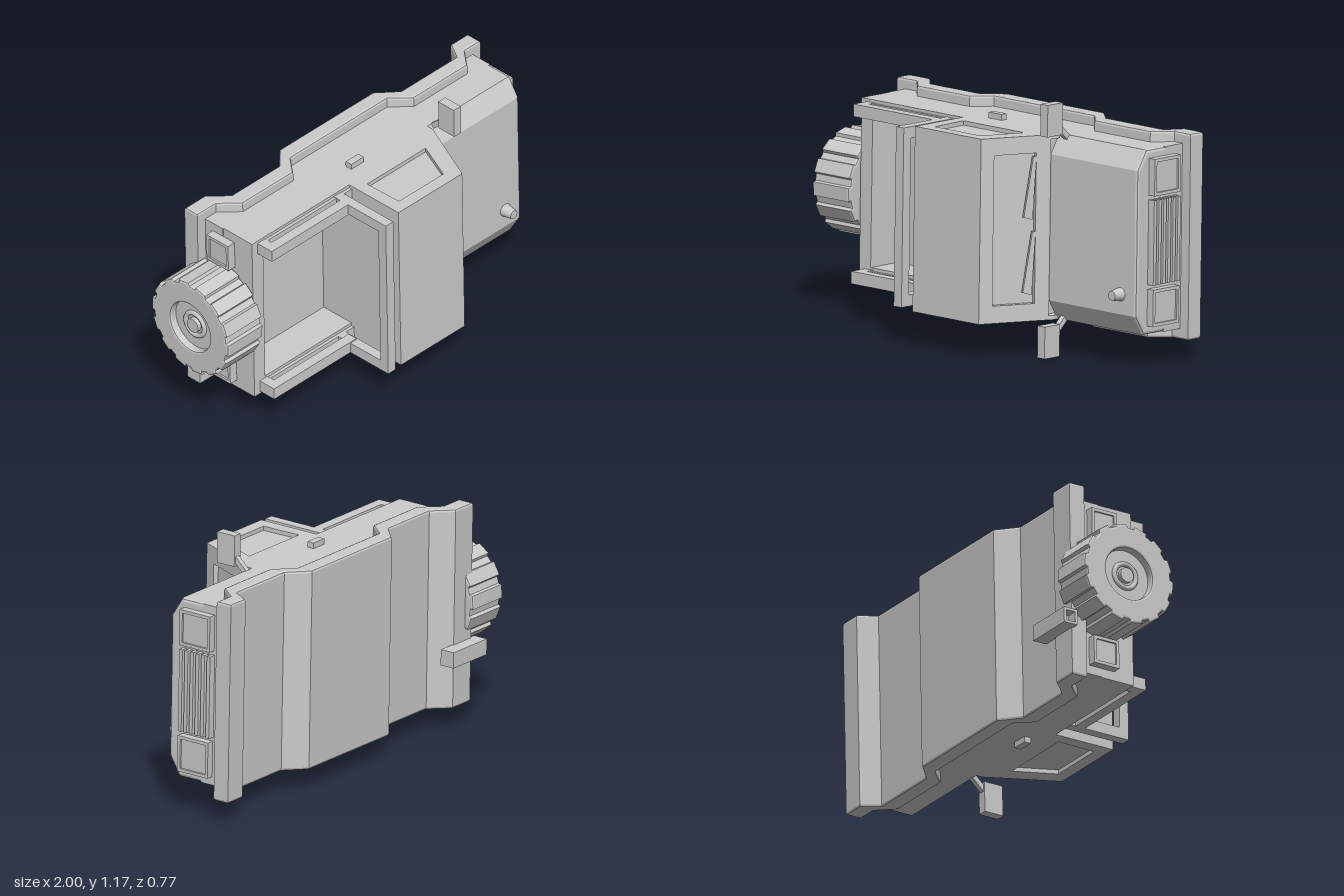
import * as THREE from 'three';

const mat = new THREE.MeshStandardMaterial({ color: 0xcccccc });
const HALF = 0.425; // half width of the body

function shapeOf(points, hole) {
  const s = new THREE.Shape(points.map(p => new THREE.Vector2(...p)));
  if (hole) s.holes.push(new THREE.Path(hole.map(p => new THREE.Vector2(...p))));
  return s;
}
const rect = (x0, y0, x1, y1) => [[x0, y0], [x1, y0], [x1, y1], [x0, y1]];

// Extrusion centred on its depth, with an optional bevel kept inside the outline
function extrude(shape, depth, bevel = 0) {
  const g = new THREE.ExtrudeGeometry(shape, {
    depth: depth - 2 * bevel, bevelEnabled: bevel > 0, bevelSize: bevel,
    bevelThickness: bevel, bevelOffset: -bevel, bevelSegments: 2, curveSegments: 24,
  });
  return g.translate(0, 0, -(depth - 2 * bevel) / 2);
}

function add(parent, name, geometry, x = 0, y = 0, z = 0) {
  const m = new THREE.Mesh(geometry, mat);
  m.name = name;
  m.position.set(x, y, z);
  parent.add(m);
  return m;
}

// Box given by its limits
function box(parent, name, x0, x1, y0, y1, z0, z1) {
  return add(parent, name, new THREE.BoxGeometry(x1 - x0, y1 - y0, Math.abs(z1 - z0)),
    (x0 + x1) / 2, (y0 + y1) / 2, (z0 + z1) / 2);
}

// Wavy skirt that forms bumpers, sills and wheel arches
function buildLower(truck) {
  const top = [[-0.82, -0.24], [-0.7, -0.24], [-0.615, -0.155], [-0.29, -0.155], [-0.22, -0.24],
    [0.4, -0.24], [0.485, -0.155], [0.83, -0.155], [0.9, -0.24], [1, -0.24]];
  const bottom = [[-0.82, -0.32], [-0.69, -0.32], [-0.605, -0.235], [-0.3, -0.235], [-0.21, -0.32],
    [0.39, -0.32], [0.485, -0.235], [0.84, -0.235], [0.89, -0.32], [1, -0.32]];
  add(truck, 'wheelArchSkirt', extrude(shapeOf([...bottom, ...[...top].reverse()]), 0.95, 0.012));

  const mid = top.map((p, i) => [(p[0] + bottom[i][0]) / 2, (p[1] + bottom[i][1]) / 2]);
  mid[0][0] = -0.77;
  mid[mid.length - 1][0] = 0.95;
  add(truck, 'lowerHull', extrude(shapeOf([...mid, [0.95, -0.13], [-0.77, -0.13]]), 2 * HALF));
}

function buildCab(truck) {
  const cab = new THREE.Group();
  cab.name = 'cab';
  truck.add(cab);
  add(cab, 'cabCore', extrude(shapeOf([[-0.14, -0.15], [0.383, -0.15], [0.383, 0.05],
    [0.25, 0.345], [0.268, 0.36], [-0.14, 0.36]]), 2 * HALF - 0.04));

  // Side panels with window openings, handles and mirrors
  const outline = [[-0.14, -0.15], [0.42, -0.15], [0.42, 0.03], [0.41, 0.05], [0.27, 0.36], [-0.14, 0.36]];
  const window = [[-0.08, 0.105], [0.295, 0.105], [0.21, 0.3], [-0.075, 0.3]].reverse();
  for (const s of [-1, 1]) {
    add(cab, 'doorPanel', extrude(shapeOf(outline, window), 0.02), 0, 0, s * (HALF - 0.01));
    box(cab, 'doorHandle', -0.05, 0.03, -0.06, -0.025, s * 0.42, s * 0.452);
    box(cab, 'mirror', 0.435, 0.48, 0.05, 0.148, s * 0.435, s * 0.582);
    const arm = add(cab, 'mirrorArm', new THREE.BoxGeometry(0.025, 0.11, 0.025), 0.457, 0.02, s * 0.435);
    arm.rotation.x = s * 0.75;
  }

  // Sloping windshield frame and wipers, in a frame lying on the slope
  const shield = new THREE.Group();
  shield.name = 'windshield';
  const up = new THREE.Vector3(-0.14, 0.31, 0).normalize();
  const across = new THREE.Vector3(0, 0, -1);
  shield.quaternion.setFromRotationMatrix(
    new THREE.Matrix4().makeBasis(across, up, across.clone().cross(up)));
  shield.position.set(0.41, 0.05, 0);
  cab.add(shield);
  const opening = rect(-0.345, 0.07, 0.345, 0.275).reverse();
  add(shield, 'windshieldFrame',
    extrude(shapeOf(rect(-HALF, 0, HALF, 0.34), opening), 0.025), 0, 0, -0.0125);
  const blade = extrude(shapeOf([[0, 0.085], [0.012, 0.128], [0.29, 0.085], [0.29, 0.07]]), 0.016);
  for (const x of [-0.305, 0.04]) add(shield, 'wiper', blade, x, 0, -0.006);
}

function buildHood(truck) {
  const section = [[-HALF, -0.2], [HALF, -0.2], [HALF, -0.005], [0.335, 0.05], [-0.335, 0.05], [-HALF, -0.005]];
  const hood = extrude(shapeOf(section), 0.55, 0.015).rotateY(Math.PI / 2);
  add(truck, 'hood', hood, 0.675, 0, 0);
  add(truck, 'hoodCap', new THREE.CylinderGeometry(0.022, 0.032, 0.06, 16), 0.85, 0.075, 0.243);

  // Grille slats between the headlights
  for (let i = 0; i < 6; i++) {
    const y = -0.032 - i * 0.031;
    box(truck, 'grilleSlat', 0.94, 0.985, y - 0.009, y + 0.009, -0.195, 0.195);
  }
  for (const s of [-1, 1]) {
    lamp(truck, 'headlight', 0.965, s * 0.3, -0.108, 0.085);
    lamp(truck, 'tailLight', -0.79, s * 0.315, -0.125, 0.068);
  }
}

// Square lamp: raised rim around a sunken lens
function lamp(parent, name, x, z, y, r) {
  const i = r - 0.015;
  const rim = extrude(shapeOf(rect(-r, -r, r, r), rect(-i, -i, i, i).reverse()), 0.042).rotateY(Math.PI / 2);
  add(parent, name + 'Rim', rim, x, y, z);
  box(parent, name + 'Lens', x - 0.012, x + 0.012, y - i, y + i, z - i, z + i);
}

function buildBed(truck) {
  const bed = new THREE.Group();
  bed.name = 'cargoBed';
  truck.add(bed);
  // Four walls round an open box
  const walls = extrude(shapeOf(rect(-0.765, -HALF, -0.13, HALF),
    rect(-0.695, -0.345, -0.14, 0.345).reverse()), 0.2).rotateX(-Math.PI / 2);
  add(bed, 'bedWalls', walls, 0, -0.05, 0);
  box(bed, 'bedFloor', -0.76, -0.13, -0.15, -0.125, -0.4, 0.4);

  // Side rails on posts
  for (const s of [-1, 1]) {
    box(bed, 'sideRail', -0.73, -0.2, 0.09, 0.14, s * 0.355, s * 0.412);
    box(bed, 'railPost', -0.73, -0.68, 0.04, 0.12, s * 0.355, s * 0.412);
    box(bed, 'lowerRail', -0.7, -0.14, 0.04, 0.066, s * 0.36, s * 0.41);
  }
  // Roll bar behind the cab
  for (const s of [-1, 1]) box(bed, 'rollBarPost', -0.24, -0.192, 0.04, 0.34, s * 0.36, s * 0.412);
  box(bed, 'rollBarTop', -0.24, -0.192, 0.33, 0.378, -0.412, 0.412);
}

function buildSpareWheel(truck) {
  const wheel = new THREE.Group();
  wheel.name = 'spareWheel';
  wheel.position.set(-0.885, -0.122, 0);
  truck.add(wheel);
  // Tread outline with alternating lugs and grooves
  const pts = [];
  const lugs = 14;
  for (let i = 0; i < lugs; i++) {
    for (const [t, r] of [[0, 0.228], [0.3, 0.228], [0.36, 0.243], [0.94, 0.243]]) {
      const a = (i + t) / lugs * Math.PI * 2;
      pts.push([Math.cos(a) * r, Math.sin(a) * r]);
    }
  }
  const tyre = shapeOf(pts);
  tyre.holes.push(new THREE.Path().absarc(0, 0, 0.125, 0, Math.PI * 2, true));
  add(wheel, 'tyre', extrude(tyre, 0.225, 0.01).rotateY(Math.PI / 2));
  const disc = (name, r, x, len) =>
    add(wheel, name, new THREE.CylinderGeometry(r, r, len, 32).rotateZ(Math.PI / 2), x, 0, 0);
  disc('rim', 0.14, 0, 0.15);
  disc('hub', 0.035, -0.08, 0.03);
  add(wheel, 'hubRing', new THREE.TorusGeometry(0.058, 0.012, 8, 32).rotateY(Math.PI / 2), -0.077, 0, 0);
}

// Square exhaust pipe with a hollow end
function buildExhaust(truck) {
  const pipe = extrude(shapeOf(rect(-0.0375, -0.036, 0.0375, 0.036),
    rect(-0.025, -0.024, 0.025, 0.024).reverse()), 0.06).rotateY(Math.PI / 2);
  add(truck, 'exhaustTip', pipe, -0.825, -0.348, 0.208);
  box(truck, 'exhaustPipe', -0.8, -0.605, -0.384, -0.312, 0.1705, 0.2455);
}

export function createModel() {
  const truck = new THREE.Group();
  truck.name = 'truckBody';
  buildLower(truck);
  buildCab(truck);
  buildHood(truck);
  buildBed(truck);
  buildSpareWheel(truck);
  buildExhaust(truck);

  // The body lies on its side, roof toward the front, tipped by about a degree
  truck.rotation.x = Math.PI / 2 - 0.019;
  truck.position.y = 0.583;
  const model = new THREE.Group();
  model.name = 'model';
  model.add(truck);
  return model;
}
